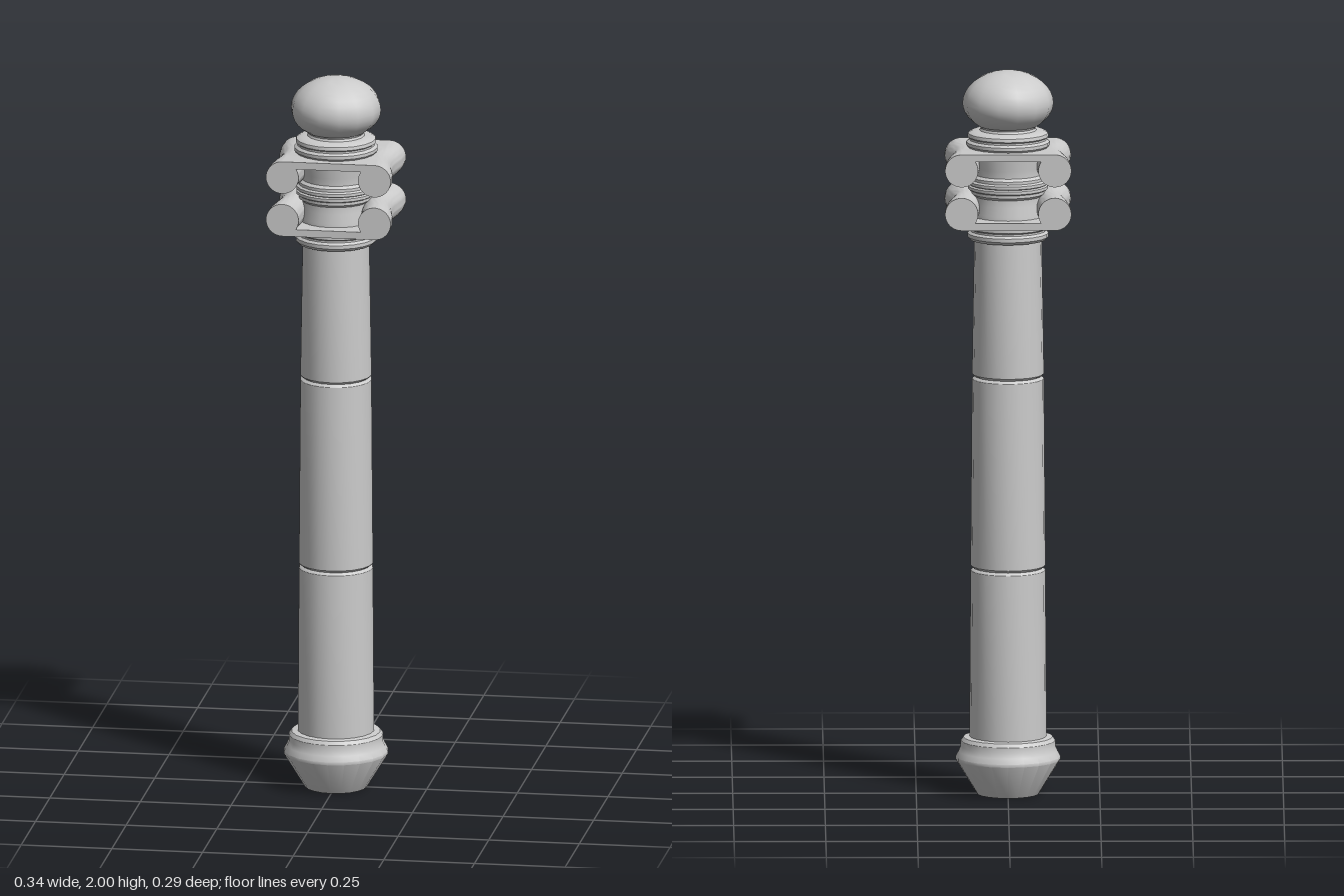
import * as THREE from 'three';
import { toCreasedNormals } from 'three/addons/utils/BufferGeometryUtils.js';

const material = new THREE.MeshStandardMaterial({ color: 0xcccccc, side: THREE.DoubleSide });

// Turned part from a [radius, height] profile, listed bottom to top
function turned(name, profile, sides = 20, crease = 0.55) {
  const points = profile.map(([r, y]) => new THREE.Vector2(r, y));
  const geometry = new THREE.LatheGeometry(points, sides, Math.PI / 2);
  const mesh = new THREE.Mesh(toCreasedNormals(geometry, crease), material);
  mesh.name = name;
  return mesh;
}

// Flat plate with a roll hanging along each side, pinched at mid depth
function scrollBlock(name, y, flipped) {
  const r = 0.045, cx = 0.127, depth = 0.27, under = 0.025;
  const meet = Math.asin(under / r);
  const shape = new THREE.Shape();
  shape.moveTo(-cx, r);
  shape.lineTo(cx, r);
  shape.absarc(cx, 0, r, Math.PI / 2, Math.PI - meet, true);
  shape.lineTo(-cx + r * Math.cos(meet), under);
  shape.absarc(-cx, 0, r, meet, Math.PI / 2, true);
  const geometry = new THREE.ExtrudeGeometry(shape, {
    depth, steps: 10, bevelEnabled: false, curveSegments: 18,
  });
  geometry.translate(0, 0, -depth / 2);
  const p = geometry.attributes.position;
  for (let i = 0; i < p.count; i++) {
    const t = Math.min(1, Math.abs(p.getZ(i)) / 0.115);
    const pinch = 0.5 + 0.5 * Math.cos(Math.PI * t);
    p.setX(i, p.getX(i) * (1 - 0.09 * pinch));
  }
  const mesh = new THREE.Mesh(toCreasedNormals(geometry, 0.7), material);
  mesh.name = name;
  mesh.position.y = y;
  if (flipped) mesh.rotation.z = Math.PI;
  return mesh;
}

export function createModel() {
  const model = new THREE.Group();
  model.name = 'column';

  // Tapered foot with a hollow underside and a stepped collar
  model.add(turned('foot', [
    [0, 0.05], [0.07, 0.05], [0.07, 0], [0.085, 0], [0.143, 0.095], [0.143, 0.103],
    [0.135, 0.118], [0.129, 0.132], [0.129, 0.147], [0.122, 0.157], [0.1, 0.16],
  ]));

  // Three tapering drums separated by narrow grooves
  const drums = [[0.155, 0.621, 0.105, 0.102], [0.629, 1.151, 0.102, 0.098], [1.159, 1.54, 0.098, 0.092]];
  drums.forEach(([y0, y1, r0, r1], i) => model.add(turned('shaftDrum' + (i + 1), [
    [r0 - 0.008, y0 - 0.004], [r0 - 0.002, y0], [r0, y0 + 0.003],
    [r1, y1 - 0.003], [r1 - 0.002, y1], [r1 - 0.008, y1 + 0.004],
  ])));

  // Moulded ring under the scrolls
  model.add(turned('lowerRing', [
    [0.09, 1.532], [0.104, 1.534], [0.111, 1.542], [0.111, 1.552], [0.104, 1.558],
    [0.104, 1.563], [0.114, 1.568], [0.114, 1.578], [0.105, 1.584], [0.08, 1.585],
  ]));

  // Core between the scrolls with a moulded waist
  model.add(turned('capitalCore', [
    [0.1, 1.58], [0.1, 1.61], [0.094, 1.635], [0.094, 1.655], [0.102, 1.662], [0.102, 1.67],
    [0.109, 1.674], [0.109, 1.682], [0.103, 1.685], [0.109, 1.688], [0.109, 1.696],
    [0.102, 1.7], [0.102, 1.708], [0.094, 1.715], [0.094, 1.735], [0.1, 1.76], [0.1, 1.79],
  ]));
  model.add(scrollBlock('upperScrolls', 1.745, false));
  model.add(scrollBlock('lowerScrolls', 1.625, true));

  // Moulded ring above the scrolls and the neck of the finial
  model.add(turned('upperRing', [
    [0.09, 1.785], [0.108, 1.787], [0.114, 1.795], [0.114, 1.804], [0.106, 1.81],
    [0.106, 1.815], [0.111, 1.819], [0.109, 1.828], [0.098, 1.834], [0.078, 1.836],
    [0.075, 1.842], [0.08, 1.852],
  ]));

  // Flattened ball finial
  const ball = [[0, 1.845], [0.072, 1.845]];
  for (let i = 0; i <= 14; i++) {
    const a = -0.85 + (Math.PI / 2 + 0.85) * i / 14;
    ball.push([0.124 * Math.max(0, Math.cos(a)), 1.91 + (a < 0 ? 0.082 : 0.09) * Math.sin(a)]);
  }
  model.add(turned('ballFinial', ball, 14, 0.75));

  return model;
}
